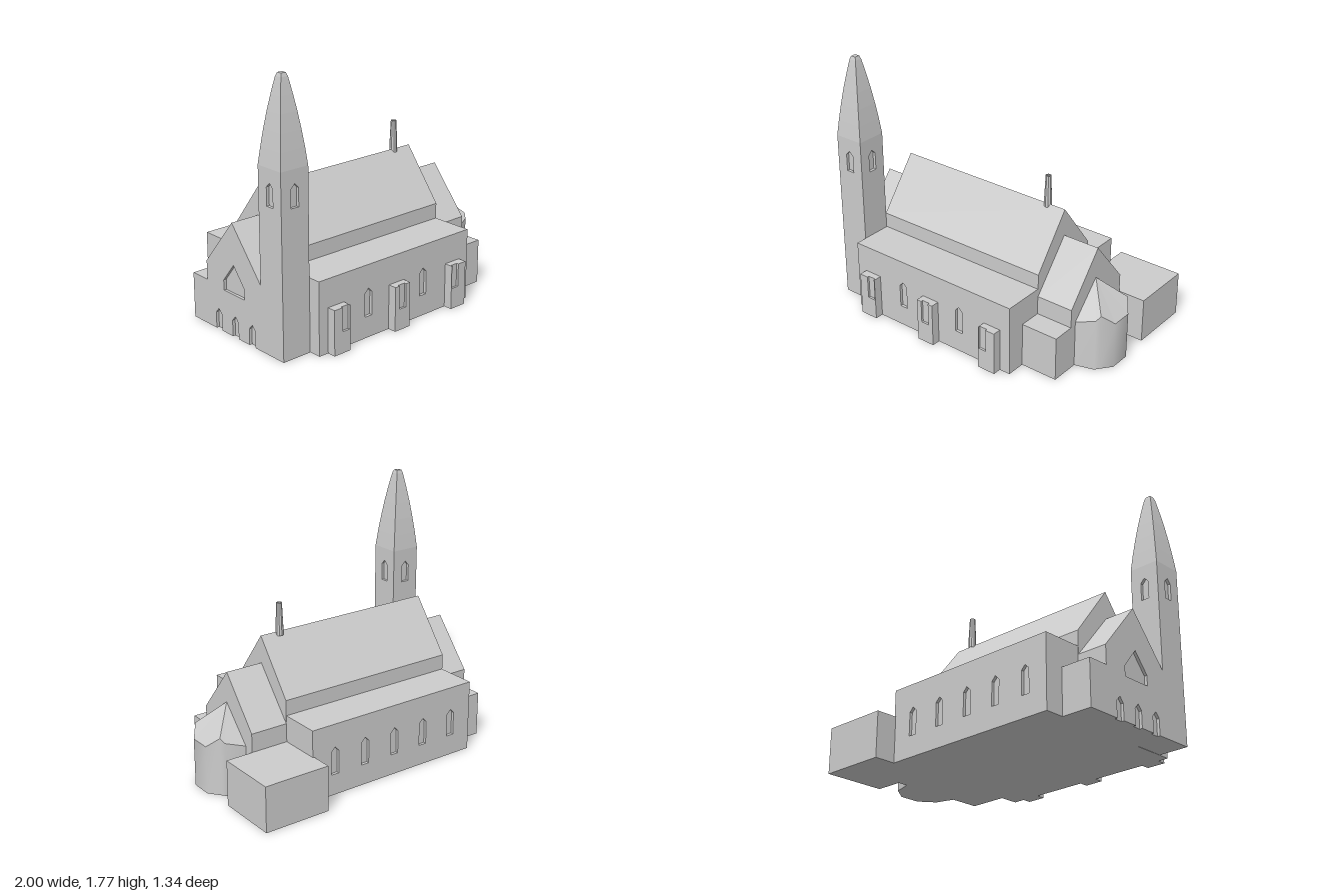
import * as THREE from 'three';

export function createModel() {
  const church = new THREE.Group();
  church.name = 'church';
  const stone = new THREE.MeshStandardMaterial({ color: 0xcccccc });
  stone.name = 'pale stone';

  const add = (name, geometry, parent = church) => {
    const mesh = new THREE.Mesh(geometry, stone);
    mesh.name = name;
    parent.add(mesh);
    return mesh;
  };

  // Box given by its limits
  const block = (name, x0, x1, y0, y1, z0, z1) =>
    add(name, new THREE.BoxGeometry(x1 - x0, y1 - y0, z1 - z0)
      .translate((x0 + x1) / 2, (y0 + y1) / 2, (z0 + z1) / 2));

  const toPoints = (pairs) => pairs.map(([x, y]) => new THREE.Vector2(x, y));
  const rect = (x0, x1, y0, y1) => [[x0, y0], [x1, y0], [x1, y1], [x0, y1]];
  const arch = (c, half, y0, spring, top) =>
    [[c - half, y0], [c + half, y0], [c + half, spring], [c, top], [c - half, spring]];

  // Wall facing with openings; its outer face lies at distance "out" in the direction "turn"
  const facing = (name, outline, openings, depth, out, turn, cx = 0, cz = 0) => {
    const shape = new THREE.Shape(toPoints(outline));
    openings.forEach((o) => shape.holes.push(new THREE.Path(toPoints(o))));
    const g = new THREE.ExtrudeGeometry(shape, { depth, bevelEnabled: false });
    g.translate(0, 0, out - depth).rotateY(turn).translate(cx, 0, cz);
    return add(name, g);
  };

  // Pitched hall running along x
  const Z0 = -0.235, Z1 = 0.313, MID = 0.04;
  const hall = (name, x0, x1, eaves, ridge) => {
    const shape = new THREE.Shape(toPoints(
      [[-Z1, 0], [-Z0, 0], [-Z0, eaves], [-MID, ridge], [-Z1, eaves]]));
    const g = new THREE.ExtrudeGeometry(shape, { depth: x1 - x0, bevelEnabled: false });
    return add(name, g.rotateY(Math.PI / 2).translate(x0, 0, 0));
  };

  const D = 0.02; // recess depth
  hall('nave', -0.79, 0.527, 0.6, 0.957);
  hall('choir', 0.527, 0.79, 0.44, 0.77);
  hall('westPorch', -1 + D, -0.79, 0.44, 0.77);

  // West front: three doors cut from the ground and a wide gable window
  const front = [[Z0, 0]];
  [-0.12, 0.05, 0.22].forEach((z) => front.push(
    [z - 0.03, 0], [z - 0.03, 0.11], [z, 0.145], [z + 0.03, 0.11], [z + 0.03, 0]));
  front.push([Z1, 0], [Z1, 0.44], [MID, 0.77], [Z0, 0.44]);
  facing('westFront', front, [arch(0.045, 0.105, 0.29, 0.36, 0.49)], D, 1, -Math.PI / 2);

  // Aisles with pointed windows
  const bays = [-0.62, -0.377, -0.135, 0.108, 0.35];
  const AX0 = -0.787, AX1 = 0.525, AH = 0.495;
  const aisleWindow = (x) => arch(x, 0.029, 0.145, 0.305, 0.335);
  block('southAisle', AX0, AX1, 0, AH, Z1 - 0.02, 0.605 - D);
  facing('southAisleWall', rect(AX0, AX1, 0, AH), [bays[1], bays[3]].map(aisleWindow), D, 0.605, 0);
  block('northAisle', AX0, AX1, 0, AH, -0.52 + D, Z0 + 0.02);
  facing('northAisleWall', rect(-AX1, -AX0, 0, AH), bays.map((x) => aisleWindow(-x)), D, 0.52, Math.PI);

  // Projecting bays on the south wall, each with a slot open at the top
  [[-0.715, bays[0]], [-0.2, bays[2]], [0.317, bays[4]]].forEach(([x, c]) => {
    const w = 0.13, h = 0.305, s = 0.029;
    block('southBay', x, x + w, 0, h, 0.6, 0.65);
    facing('southBayFront', [[x, 0], [x + w, 0], [x + w, h], [c + s, h], [c + s, 0.145],
      [c - s, 0.145], [c - s, h], [x, h]], [], 0.015, 0.665, 0);
  });

  // Low flat-roofed annexes
  block('westAnnex', -1, -0.787, 0, 0.31, -0.385, Z0);
  block('choirAnnex', 0.525, 0.79, 0, 0.31, Z1 - 0.02, 0.472);
  block('sacristy', 0.515, 0.98, 0, 0.313, -0.67, Z0);

  // Tower with a window in each face
  const TX = -0.895, TZ = 0.417, R = 0.105, TH = 1.21;
  block('towerCore', TX - R + D, TX + R - D, 0, TH, TZ - R + D, TZ + R - D);
  for (let i = 0; i < 4; i++) {
    facing('towerWall', rect(-R, R, 0, TH), [arch(0, 0.029, 0.97, 1.09, 1.12)],
      D, R, i * Math.PI / 2, TX, TZ);
  }

  // Curved four-sided spire
  const profile = [[0.105, 1.21], [0.093, 1.32], [0.079, 1.43], [0.063, 1.54], [0.046, 1.64],
    [0.033, 1.71], [0.026, 1.745], [0.018, 1.767], [0, 1.768]];
  const spire = new THREE.LatheGeometry(
    toPoints(profile.map(([r, y]) => [r * Math.SQRT2, y])), 4, Math.PI / 4).toNonIndexed();
  spire.computeVertexNormals();
  add('spire', spire.translate(TX, 0, TZ));

  // Hollow ridge turret
  const turret = new THREE.LatheGeometry(toPoints(
    [[0.027, 0.935], [0.026, 1.0], [0.019, 1.155], [0.013, 1.155], [0.013, 0.95]]), 10).toNonIndexed();
  turret.computeVertexNormals();
  add('ridgeTurret', turret.translate(0.387, 0, 0.033));

  // Apse: smooth curved wall under a faceted roof
  const half = [[0.79, 0.33, 0.215], [0.92, 0.37, 0.177], [0.94, 0.4, 0.15], [1, 0.33, 0.073]];
  const AZ = 0.052;
  const rim = [...half.map(([x, y, z]) => [x, y, AZ + z]),
    ...half.slice().reverse().map(([x, y, z]) => [x, y, AZ - z])];
  const wallPos = [], wallIndex = [];
  rim.forEach(([x, y, z], i) => {
    wallPos.push(x, 0, z, x, y, z);
    if (i < rim.length - 1) {
      const a = 2 * i;
      wallIndex.push(a, a + 2, a + 3, a, a + 3, a + 1);
    }
  });
  const wall = new THREE.BufferGeometry();
  wall.setAttribute('position', new THREE.Float32BufferAttribute(wallPos, 3));
  wall.setIndex(wallIndex);
  wall.computeVertexNormals();
  add('apseWall', wall);

  // Fans from one point over the rim
  const fan = (name, tip, ring, flip) => {
    const pos = [];
    for (let i = 0; i < ring.length - 1; i++) {
      const [a, b] = flip ? [ring[i + 1], ring[i]] : [ring[i], ring[i + 1]];
      pos.push(...tip, ...a, ...b);
    }
    const g = new THREE.BufferGeometry();
    g.setAttribute('position', new THREE.Float32BufferAttribute(pos, 3));
    g.computeVertexNormals();
    add(name, g);
  };
  fan('apseRoof', [0.79, 0.56, AZ], rim, false);
  fan('apseFloor', [0.79, 0, AZ], rim.map(([x, , z]) => [x, 0, z]), true);

  return church;
}
